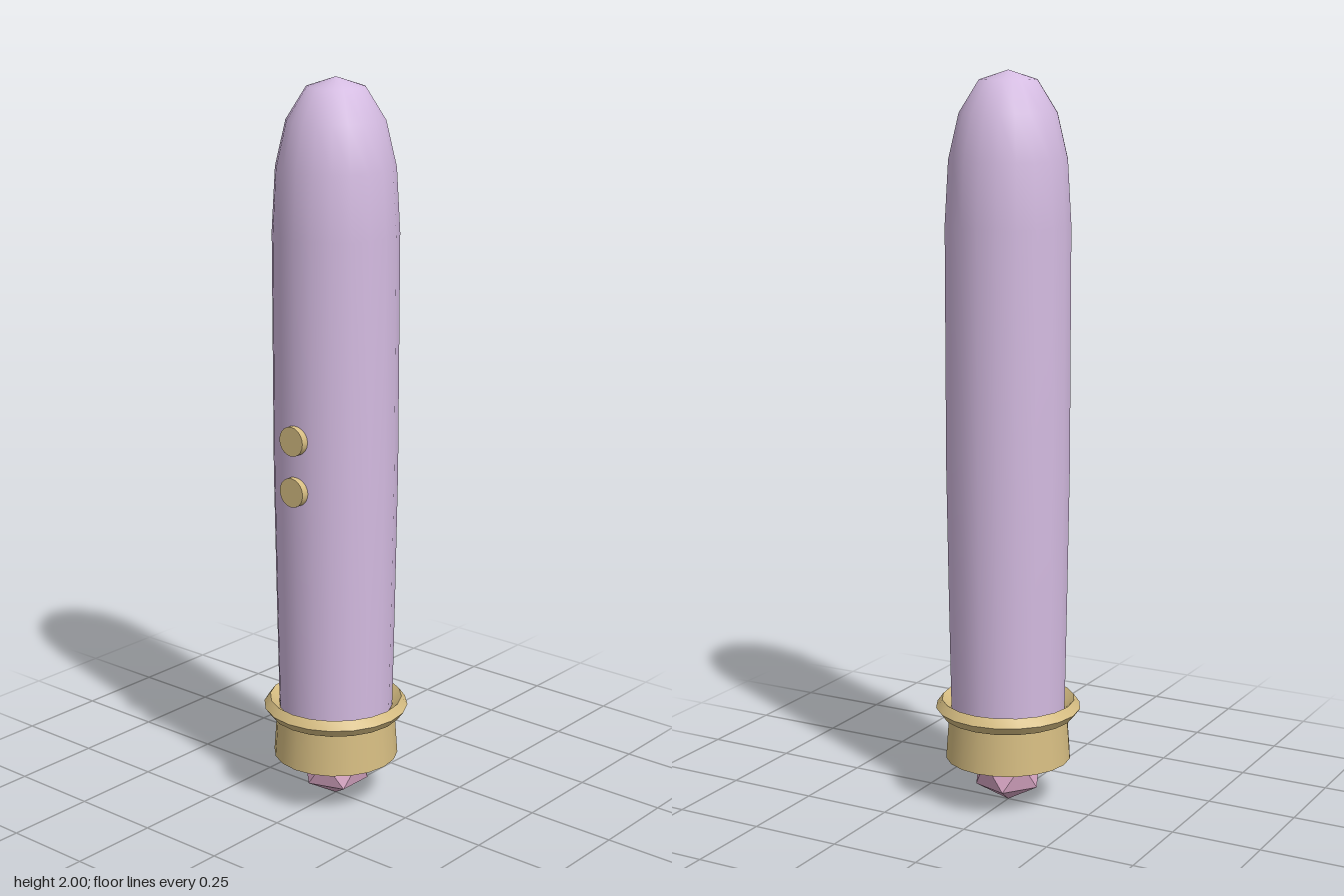
import * as THREE from 'three';
import { toCreasedNormals } from 'three/addons/utils/BufferGeometryUtils.js';

const SIDES = 20;

function material(name, color) {
  const m = new THREE.MeshStandardMaterial({ color });
  m.name = name;
  return m;
}

// Revolve [radius, height] pairs, listed from bottom to top
function lathe(points) {
  return new THREE.LatheGeometry(points.map(([r, y]) => new THREE.Vector2(r, y)), SIDES);
}

export function createModel() {
  const group = new THREE.Group();
  const lavender = material('lavender', 0xd4bbe1);
  const gold = material('gold', 0xd6bd82);
  const pink = material('pink', 0xdaa8c6);

  function add(name, geometry, mat, x = 0, y = 0, z = 0) {
    const mesh = new THREE.Mesh(geometry, mat);
    mesh.name = name;
    mesh.position.set(x, y, z);
    group.add(mesh);
  }

  // Slightly swelling body with a domed end
  add('body', lathe([
    [0.155, 0.2], [0.158, 0.3], [0.163, 0.6], [0.168, 0.95], [0.168, 1.6],
    [0.158, 1.77], [0.13, 1.89], [0.077, 1.975], [0, 2],
  ]), lavender);

  // Base cap, wider at the bottom
  add('baseCap', new THREE.CylinderGeometry(0.163, 0.173, 0.14, SIDES), gold, 0, 0.2, 0);

  // Diamond-section ring
  const ring = lathe([
    [0.158, 0.275], [0.183, 0.252], [0.2, 0.275], [0.183, 0.298], [0.158, 0.275],
  ]);
  add('ring', toCreasedNormals(ring, 0.6), gold);

  // Two round buttons on the front
  for (const y of [0.93, 1.07]) {
    const button = new THREE.CylinderGeometry(0.04, 0.04, 0.035, 20).rotateX(Math.PI / 2);
    add('button', button, gold, 0, y, 0.165);
  }

  // Faceted gem standing on one point
  const gem = new THREE.IcosahedronGeometry(0.1, 0);
  gem.rotateX(-Math.atan((1 + Math.sqrt(5)) / 2));
  gem.rotateY(Math.PI / 2);
  gem.scale(1, 0.9, 1);
  gem.computeVertexNormals();
  add('gem', gem, pink, 0, 0.09, 0);

  return group;
}
